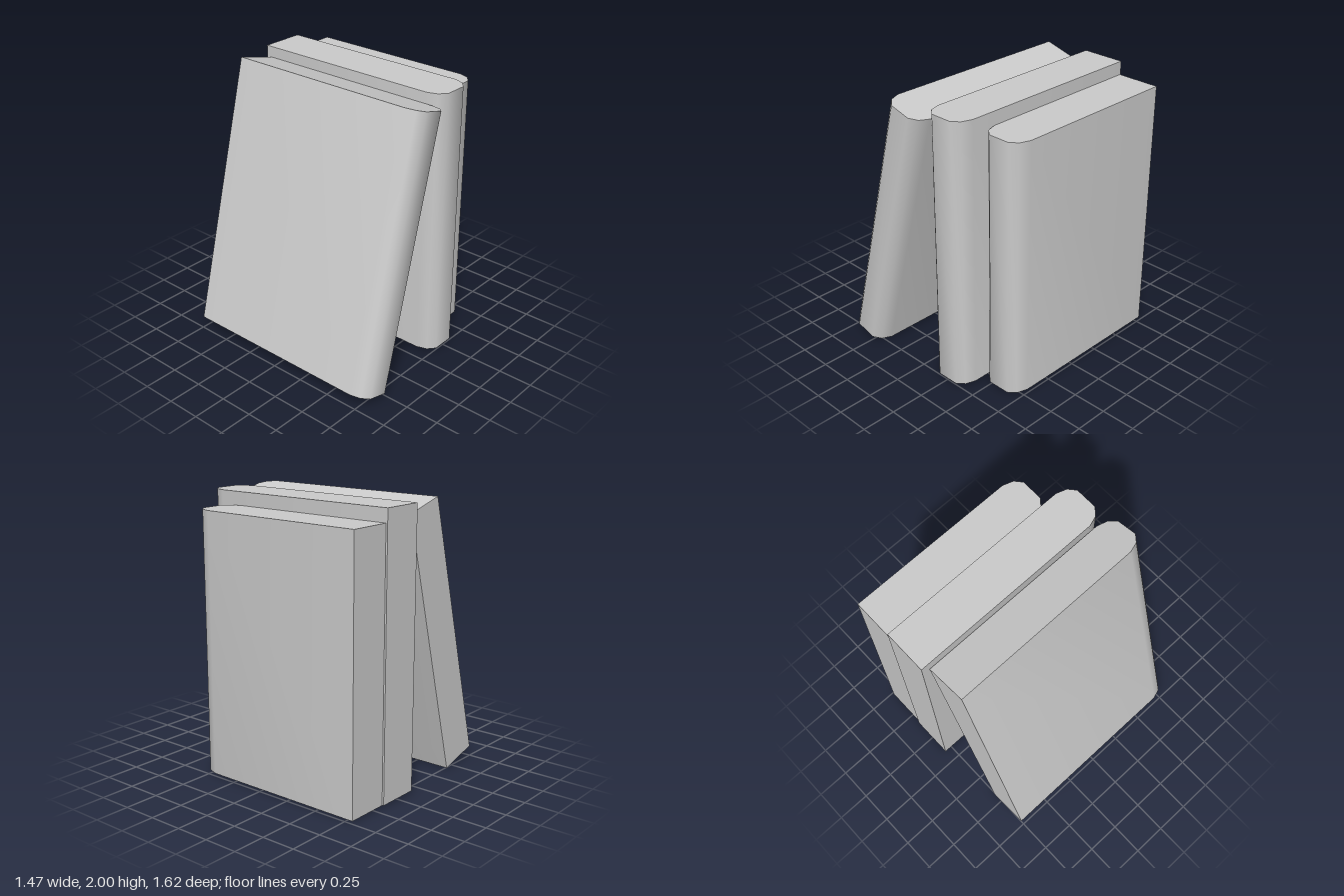
import * as THREE from 'three';
import { toCreasedNormals } from 'three/addons/utils/BufferGeometryUtils.js';

const material = new THREE.MeshStandardMaterial({ color: 0xcccccc });

// Upright book standing on its own origin: square at the back, rounded spine at the front.
function makeBook(name, width, height, back, front) {
  const w = width / 2;
  // Right half of the outline as [x, z], from the back corner to the spine.
  const half = [[w, back], [w, front - 0.12], [w - 0.025, front - 0.045], [w - 0.078, front]];
  const outline = [...half, ...half.map(([x, z]) => [-x, z]).reverse()];
  const shape = new THREE.Shape(outline.map(([x, z]) => new THREE.Vector2(x, -z)));
  const solid = new THREE.ExtrudeGeometry(shape, { depth: height, bevelEnabled: false });
  solid.rotateX(-Math.PI / 2);
  const book = new THREE.Mesh(toCreasedNormals(solid, 1), material);
  book.name = name;
  return book;
}

export function createModel() {
  const group = new THREE.Group();
  group.name = 'books';

  // Two books standing side by side
  const middle = makeBook('middleBook', 0.32, 1.985, -0.81, 0.75);
  middle.position.set(0.251, 0.01, 0);
  const short = makeBook('shortBook', 0.318, 1.89, -0.80, 0.57);
  short.position.set(0.574, 0.01, 0);

  // Book leaning against them
  const leaning = makeBook('leaningBook', 0.316, 1.985, -0.757, 0.81);
  leaning.position.set(-0.581, 0.041, 0);
  leaning.rotation.z = -Math.PI / 12;

  group.add(middle, short, leaning);
  return group;
}
